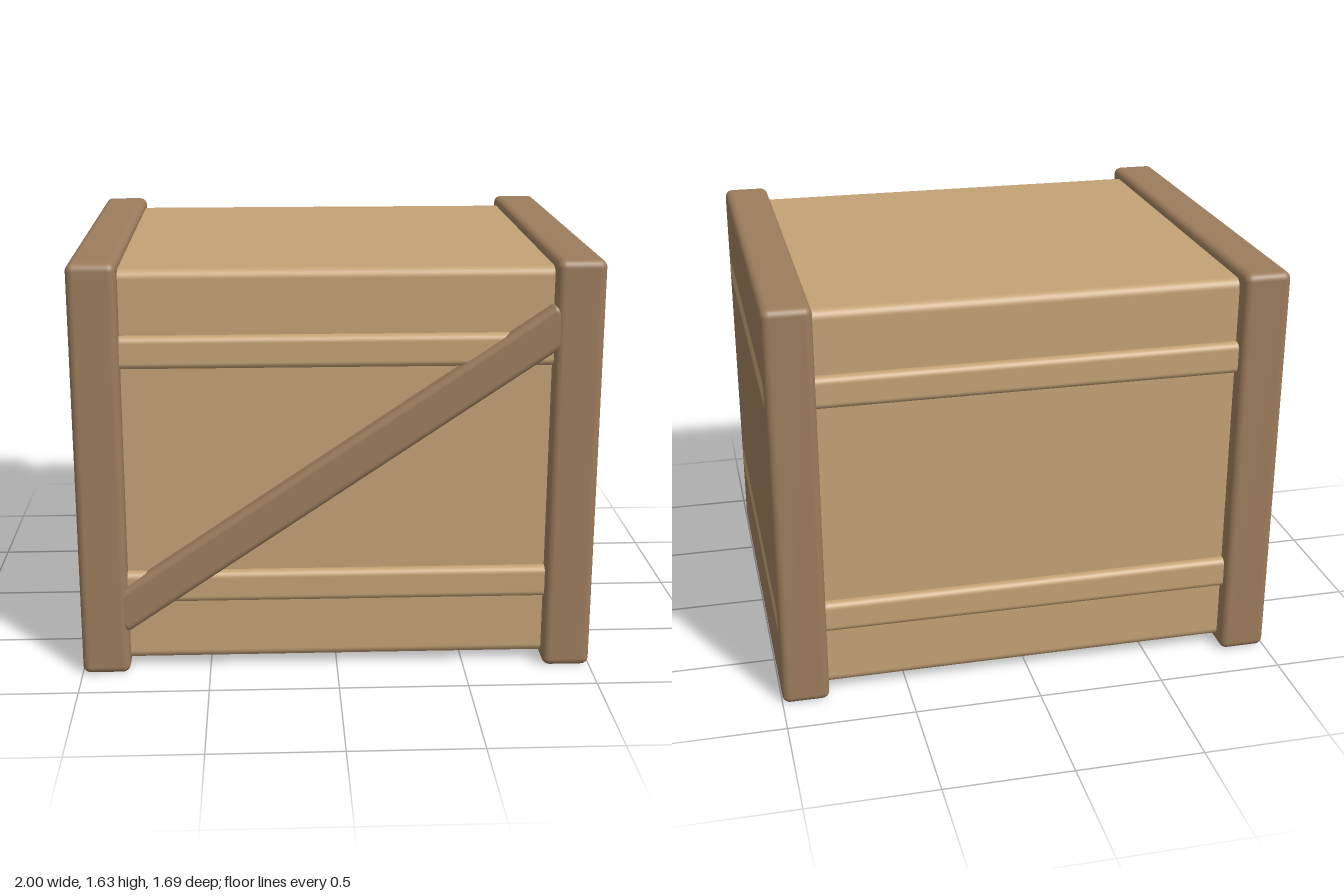
import * as THREE from 'three';
import { RoundedBoxGeometry } from 'three/addons/geometries/RoundedBoxGeometry.js';

export function createModel() {
  const crate = new THREE.Group();
  crate.name = 'crate';
  const lightWood = new THREE.MeshStandardMaterial({ color: 0xc4a276 });
  lightWood.name = 'lightWood';
  const darkWood = new THREE.MeshStandardMaterial({ color: 0x9c7c5c });
  darkWood.name = 'darkWood';

  // Rounded block from size, centre and edge radius
  function block(name, material, size, centre, radius) {
    const mesh = new THREE.Mesh(new RoundedBoxGeometry(...size, 4, radius), material);
    mesh.name = name;
    mesh.position.set(...centre);
    crate.add(mesh);
    return mesh;
  }

  // Main box
  block('body', lightWood, [1.9, 1.56, 1.56], [0, 0.815, 0], 0.035);

  // Thick end panels
  for (const side of [-1, 1]) {
    block(side > 0 ? 'leftEndPanel' : 'rightEndPanel', darkWood,
      [0.185, 1.63, 1.686], [side * 0.9065, 0.815, 0], 0.03);
  }

  // Horizontal slats running through the ends, showing as slim inlays
  block('lowerSlat', lightWood, [2, 0.126, 1.626], [0, 0.347, 0], 0.026);
  block('upperSlat', lightWood, [2, 0.126, 1.626], [0, 1.285, 0], 0.026);

  // Diagonal brace across the front
  const brace = block('diagonalBrace', darkWood, [2.09, 0.153, 0.12], [0, 0.817, 0.78], 0.025);
  brace.rotation.z = Math.atan(0.677);

  return crate;
}
